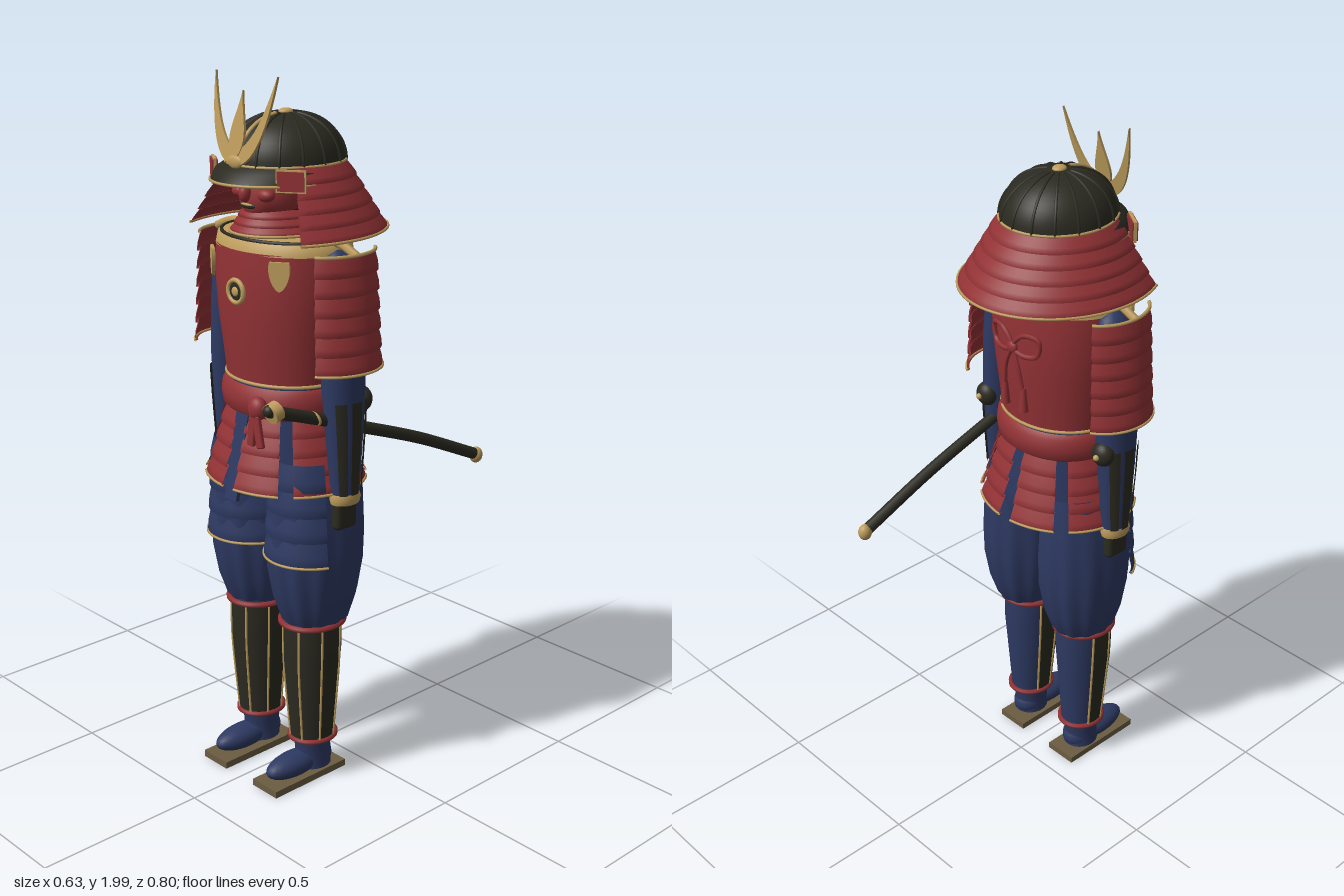
import * as THREE from 'three';
import { RoundedBoxGeometry } from 'three/addons/geometries/RoundedBoxGeometry.js';

const D = Math.PI / 180, CZ = 0.145;
const V = (p) => new THREE.Vector3(...p);
const lerp = (a, b, t) => a.map((v, i) => v + (b[i] - v) * t);

// Elliptical shell: rows of [rx, rz, y, cx, cz] from top to bottom, angle 0 = front, 90 = +x
function band(rows, { from = 0, to = 360, cx = 0, cz = CZ, segs = 48, wave = () => 1 } = {}) {
  const closed = to - from >= 360, n = closed ? segs : segs + 1, pos = [], idx = [];
  for (const [rx, rz, y, ox = cx, oz = cz] of rows) {
    for (let j = 0; j < n; j++) {
      const a = (from + (to - from) * j / segs) * D, w = wave(a, y);
      pos.push(ox + rx * w * Math.sin(a), y, oz + rz * w * Math.cos(a));
    }
  }
  for (let i = 0; i < rows.length - 1; i++) {
    for (let j = 0; j < segs; j++) {
      const k = (j + 1) % n, u = i * n, l = u + n;
      idx.push(l + j, l + k, u + k, l + j, u + k, u + j);
    }
  }
  const g = new THREE.BufferGeometry();
  g.setAttribute('position', new THREE.Float32BufferAttribute(pos, 3));
  g.setIndex(idx);
  g.computeVertexNormals();
  return g;
}

function tube(pts, r, closed = false, segs = 40) {
  return new THREE.TubeGeometry(new THREE.CatmullRomCurve3(pts.map(V), closed), segs, r, 6, closed);
}

// Cord that follows the rim of a shell
function rim([rx, rz, y], r, { from = 0, to = 360, cx = 0, cz = CZ } = {}) {
  const closed = to - from >= 360, n = 24, pts = [];
  for (let i = 0; i < n + (closed ? 0 : 1); i++) {
    const a = (from + (to - from) * i / n) * D;
    pts.push([cx + rx * Math.sin(a), y, cz + rz * Math.cos(a)]);
  }
  return tube(pts, r, closed, 48);
}

function ball(r, p, s = [1, 1, 1]) {
  return new THREE.SphereGeometry(r, 24, 16).scale(...s).translate(...p);
}

function mirrored(geo) {
  const g = geo.clone().scale(-1, 1, 1);
  if (!g.index) g.setIndex([...Array(g.attributes.position.count).keys()]);
  g.setIndex([...g.index.array].reverse());
  return g;
}

export function createModel() {
  const root = new THREE.Group();
  root.name = 'armouredWarrior';
  const mat = (name, color) => Object.assign(new THREE.MeshStandardMaterial({ color, side: THREE.DoubleSide }), { name });
  const red = mat('redLacquer', 0x923235), blue = mat('indigoCloth', 0x2e3a63), black = mat('blackLacquer', 0x2b2a21);
  const gold = mat('gold', 0xbd9c5c), straw = mat('straw', 0x6b5d42);
  const add = (name, m, g) => {
    const mesh = new THREE.Mesh(g, m);
    mesh.name = name;
    root.add(mesh);
  };
  const pair = (name, m, g) => { add(name + 'Left', m, g); add(name + 'Right', m, mirrored(g)); };
  // Overlapping lames between two rims, with a gold cord at the bottom
  const lames = (put, name, m, n, top, bot, o, trim = true) => {
    for (let k = 0; k < n; k++) {
      const a = lerp(top, bot, k / n), b = lerp(top, bot, (k + 1) / n), c = lerp(a, b, 0.6);
      const grow = (p, d, dy = 0) => [p[0] + d, p[1] + d, p[2] + dy];
      put(name, m, band([grow(a, -0.005, 0.004), grow(c, 0.003), grow(b, 0.004), grow(b, -0.004)], { segs: 40, ...o }));
    }
    if (trim) put(name + 'Trim', gold, rim([bot[0] + 0.004, bot[1] + 0.004, bot[2]], 0.004, o));
  };

  // Helmet bowl with ribs
  const dome = (t, d = 0) => [0.149 * Math.cos(t) ** 0.9 + d, 0.165 * Math.cos(t) ** 0.9 + d, 1.762 + 0.125 * Math.sin(t)];
  const rows = [];
  for (let i = 12; i >= 0; i--) rows.push(dome(Math.min(i * 7.5, 89.9) * D));
  const HZ = 0.135;
  add('helmetBowl', black, band(rows, { cz: HZ, segs: 96 }));
  for (let k = 0; k < 16; k++) {
    const a = k * 22.5 * D, pts = [];
    for (let i = 0; i <= 8; i++) {
      const [rx, rz, y] = dome(i * 10 * D, 0.001);
      pts.push([rx * Math.sin(a), y, HZ + rz * Math.cos(a)]);
    }
    add('helmetRib', k ? black : gold, tube(pts, k ? 0.004 : 0.006, false, 16));
  }
  add('helmetRing', gold, rim([0.15, 0.166, 1.764], 0.004, { cz: HZ }));
  add('helmetButton', gold, ball(0.018, [0, 1.887, HZ], [1, 0.55, 1.15]));
  const vis = { from: -78, to: 78, cz: 0.14 };
  add('visor', black, band([[0.147, 0.155, 1.766], [0.162, 0.195, 1.75], [0.172, 0.212, 1.722]], vis));
  add('visorTrim', gold, rim([0.172, 0.212, 1.722], 0.004, vis));

  // Crest: two horns and a central flame
  const plate = (shape) => new THREE.ExtrudeGeometry(shape, { depth: 0.007, bevelEnabled: false, curveSegments: 16 })
    .rotateX(-0.2).translate(0, 1.765, 0.308);
  const horn = new THREE.Shape();
  horn.moveTo(0, 0);
  horn.bezierCurveTo(0.075, 0, 0.108, 0.1, 0.12, 0.232);
  horn.bezierCurveTo(0.09, 0.13, 0.06, 0.06, 0, 0.035);
  pair('crestHorn', gold, plate(horn));
  const flame = new THREE.Shape();
  flame.moveTo(0, 0.01);
  flame.bezierCurveTo(0.055, 0.07, 0.012, 0.11, 0, 0.19);
  flame.bezierCurveTo(-0.012, 0.11, -0.055, 0.07, 0, 0.01);
  add('crestFlame', gold, plate(flame).translate(0, 0, 0.003));
  add('crestBase', gold, ball(0.022, [0, 1.775, 0.31], [1.3, 0.8, 0.4]));

  // Neck guard and its turned-back wings
  lames(add, 'neckGuard', red, 5, [0.157, 0.17, 1.76], [0.252, 0.284, 1.585], { from: 60, to: 300, cz: 0.14 });
  const wing = (w, h, d, z) => new THREE.BoxGeometry(w, h, d).translate(0, 0, z).rotateY(0.6).translate(0.153, 1.737, 0.255);
  pair('wingBorder', gold, wing(0.078, 0.058, 0.008, 0));
  pair('wingPlate', red, wing(0.07, 0.05, 0.016, 0));

  // Head, mask and throat guard
  add('head', black, ball(0.11, [0, 1.7, 0.145], [0.9, 1.15, 1]));
  add('neck', black, new THREE.CylinderGeometry(0.07, 0.08, 0.12, 24).translate(0, 1.6, CZ));
  add('mask', red, band([[0.1, 0.122, 1.712], [0.102, 0.13, 1.68], [0.09, 0.128, 1.65], [0.06, 0.115, 1.628]], { from: -100, to: 100 }));
  add('maskNose', red, ball(0.018, [0, 1.69, 0.278], [0.9, 1.3, 1]));
  pair('maskCheek', red, ball(0.025, [0.05, 1.688, 0.25], [1.1, 0.7, 0.8]));
  add('maskMouth', black, ball(0.03, [0, 1.658, 0.27], [1, 0.3, 0.2]));
  add('maskTeeth', gold, ball(0.022, [0, 1.661, 0.274], [1, 0.17, 0.2]));
  lames(add, 'throatGuard', red, 3, [0.088, 0.118, 1.645], [0.125, 0.15, 1.585], { from: -100, to: 100 });

  // Cuirass
  add('collar', gold, band([[0.08, 0.08, 1.585], [0.175, 0.138, 1.578], [0.203, 0.155, 1.568], [0.208, 0.162, 1.54]]));
  add('collarCord', black, rim([0.19, 0.147, 1.574], 0.005));
  add('cuirass', red, band([[0.205, 0.162, 1.545], [0.206, 0.168, 1.46], [0.196, 0.165, 1.36], [0.182, 0.155, 1.26], [0.174, 0.147, 1.185]]));
  add('cuirassTrim', gold, rim([0.175, 0.148, 1.187], 0.005));
  const leaf = new THREE.Shape();
  leaf.moveTo(0, -0.042);
  leaf.bezierCurveTo(0.02, -0.035, 0.035, 0.01, 0.026, 0.036);
  leaf.lineTo(-0.026, 0.036);
  leaf.bezierCurveTo(-0.035, 0.01, -0.02, -0.035, 0, -0.042);
  pair('chestPlate', gold, new THREE.ExtrudeGeometry(leaf, { depth: 0.009, bevelEnabled: false }).rotateY(0.59).translate(0.132, 1.495, 0.277));
  add('medallion', black, ball(0.03, [0, 1.437, 0.312], [1, 1, 0.2]));
  add('medallionRing', gold, new THREE.TorusGeometry(0.03, 0.007, 8, 32).translate(0, 1.437, 0.314));
  add('medallionHeart', gold, ball(0.013, [0, 1.437, 0.317], [1, 1, 0.4]));

  // Cord bow on the back
  add('bowKnot', red, ball(0.018, [0, 1.43, -0.033], [1, 1, 0.6]));
  pair('bowLoop', red, tube([[0, 1.43, -0.032], [0.04, 1.475, -0.03], [0.085, 1.47, -0.018], [0.08, 1.425, -0.018], [0.04, 1.415, -0.03]], 0.007, true));
  pair('bowTail', red, tube([[0, 1.43, -0.034], [0.022, 1.38, -0.034], [0.035, 1.31, -0.028]], 0.006));
  pair('bowTassel', red, new THREE.CylinderGeometry(0.007, 0.014, 0.07, 12).translate(0.036, 1.28, -0.026));

  // Sash and skirt
  add('hips', blue, band([[0.172, 0.145, 1.2], [0.165, 0.138, 1.1], [0.195, 0.158, 0.95], [0.19, 0.14, 0.86]]));
  add('sash', red, band([[0.172, 0.146, 1.178], [0.184, 0.16, 1.165], [0.188, 0.164, 1.135], [0.184, 0.16, 1.105], [0.172, 0.146, 1.092]]));
  add('sashKnot', red, new THREE.SphereGeometry(0.03, 20, 14).scale(1, 1.1, 0.8).translate(0.07, 1.13, 0.305));
  [-0.12, 0.2].forEach((r, i) => add('sashEnd', red, new RoundedBoxGeometry(0.026, 0.09, 0.014, 2, 0.005).rotateZ(r).translate(0.06 + i * 0.025, 1.07, 0.316)));
  for (let k = 0; k < 8; k++) {
    lames(add, 'skirtPanel', red, 4, [0.175, 0.15, 1.1], [0.232, 0.207, 0.9], { from: k * 45 + 5.5, to: k * 45 + 39.5, segs: 10 });
  }
  add('frontStrip', blue, new THREE.BoxGeometry(0.048, 0.24, 0.012).rotateX(-0.2).translate(0, 0.98, 0.318));

  // Arms, shoulder guards and hands
  pair('sleeve', blue, band([[0.005, 0.005, 1.555, 0.2], [0.04, 0.045, 1.54, 0.205], [0.05, 0.062, 1.48, 0.212], [0.052, 0.066, 1.35, 0.222],
    [0.048, 0.067, 1.2, 0.228], [0.044, 0.058, 1.08, 0.232], [0.032, 0.042, 0.88, 0.236]], { cz: 0.142, segs: 32 }));
  const shoulder = { from: 27, to: 153, cx: 0.19, cz: 0.14 };
  lames(pair, 'shoulderGuard', red, 6, [0.092, 0.122, 1.55], [0.118, 0.13, 1.245], shoulder);
  pair('shoulderTopTrim', gold, rim([0.09, 0.12, 1.552], 0.005, shoulder));
  pair('shoulderStrap', gold, tube([[0.16, 1.575, CZ], [0.22, 1.572, CZ], [0.278, 1.55, CZ]], 0.012));
  for (const a of [48, 90, 132]) {
    pair('forearmSplint', black, band([[0.054, 0.07, 1.16, 0.229], [0.05, 0.064, 1.08, 0.232], [0.039, 0.049, 0.9, 0.236]],
      { from: a - 15, to: a + 15, cz: 0.142, segs: 6 }));
  }
  pair('elbowGuard', black, ball(0.036, [0.235, 1.15, 0.085], [0.95, 1, 0.8]));
  pair('elbowStud', gold, ball(0.009, [0.237, 1.15, 0.056]));
  pair('cuff', gold, band([[0.034, 0.044, 0.9], [0.038, 0.048, 0.885], [0.034, 0.044, 0.87]], { cx: 0.235, cz: 0.142, segs: 24 }));
  pair('hand', black, new RoundedBoxGeometry(0.036, 0.1, 0.075, 3, 0.014).translate(0.234, 0.845, 0.145));

  // Sword in its scabbard
  add('scabbard', black, new THREE.TubeGeometry(new THREE.CatmullRomCurve3([[0.207, 1.172, 0.385], [0.213, 1.127, 0.25], [0.222, 1.063, 0.07],
    [0.23, 0.982, -0.15], [0.237, 0.885, -0.37]].map(V)), 40, 0.017, 14));
  add('swordGuard', gold, new THREE.CylinderGeometry(0.027, 0.027, 0.028, 24).rotateX(Math.PI / 2 + 0.3).translate(0.208, 1.166, 0.368));
  add('swordPommel', black, ball(0.017, [0.207, 1.172, 0.383]));
  add('scabbardRing', gold, new THREE.TorusGeometry(0.018, 0.004, 8, 24).rotateX(0.35).translate(0.214, 1.12, 0.23));
  add('scabbardTip', gold, ball(0.02, [0.237, 0.878, -0.382], [0.95, 1.2, 1]));

  // Trousers and thigh guards
  const pleat = (a, y) => 1 + 0.025 * Math.cos(12 * a) * Math.min(1, (1 - y) * 3);
  pair('trouserLeg', blue, band([[0.09, 0.13, 0.98], [0.112, 0.144, 0.87], [0.12, 0.146, 0.75], [0.117, 0.142, 0.66], [0.105, 0.125, 0.57],
    [0.086, 0.1, 0.5], [0.07, 0.085, 0.485]], { cx: 0.118, cz: 0.142, segs: 72, wave: pleat }));
  lames(pair, 'thighGuard', blue, 4, [0.112, 0.135, 0.98], [0.132, 0.146, 0.697], { from: -64, to: 64, cx: 0.122 });

  // Lower legs and shin guards
  const leg = { cx: 0.113, cz: 0.15, segs: 32 };
  pair('calf', blue, band([[0.077, 0.088, 0.5], [0.076, 0.088, 0.4], [0.056, 0.066, 0.14], [0.046, 0.055, 0.09], [0.05, 0.055, 0.03]], leg));
  const shin = [[0.084, 0.088, 0.485], [0.081, 0.088, 0.37], [0.062, 0.068, 0.125]];
  pair('shinGuard', black, band(shin, { ...leg, from: -112, to: 112 }));
  for (const a of [-112, -68, -23, 23, 68, 112]) {
    pair('shinStripe', gold, tube(shin.map(([rx, rz, y]) => [0.113 + rx * Math.sin(a * D), y, 0.15 + rz * Math.cos(a * D)]), 0.0035, false, 12));
  }
  pair('kneeTie', red, rim([0.085, 0.092, 0.488], 0.009, leg));
  pair('ankleTie', red, rim([0.062, 0.068, 0.125], 0.008, leg));

  // Feet and sandals
  pair('foot', blue, ball(0.1, [0.112, 0.05, 0.222], [0.43, 0.36, 1]));
  pair('heel', blue, ball(0.05, [0.112, 0.055, 0.142], [0.92, 0.9, 1.05]));
  pair('sandal', straw, new THREE.BoxGeometry(0.1, 0.02, 0.268).translate(0.11, 0.01, 0.199));

  return root;
}
